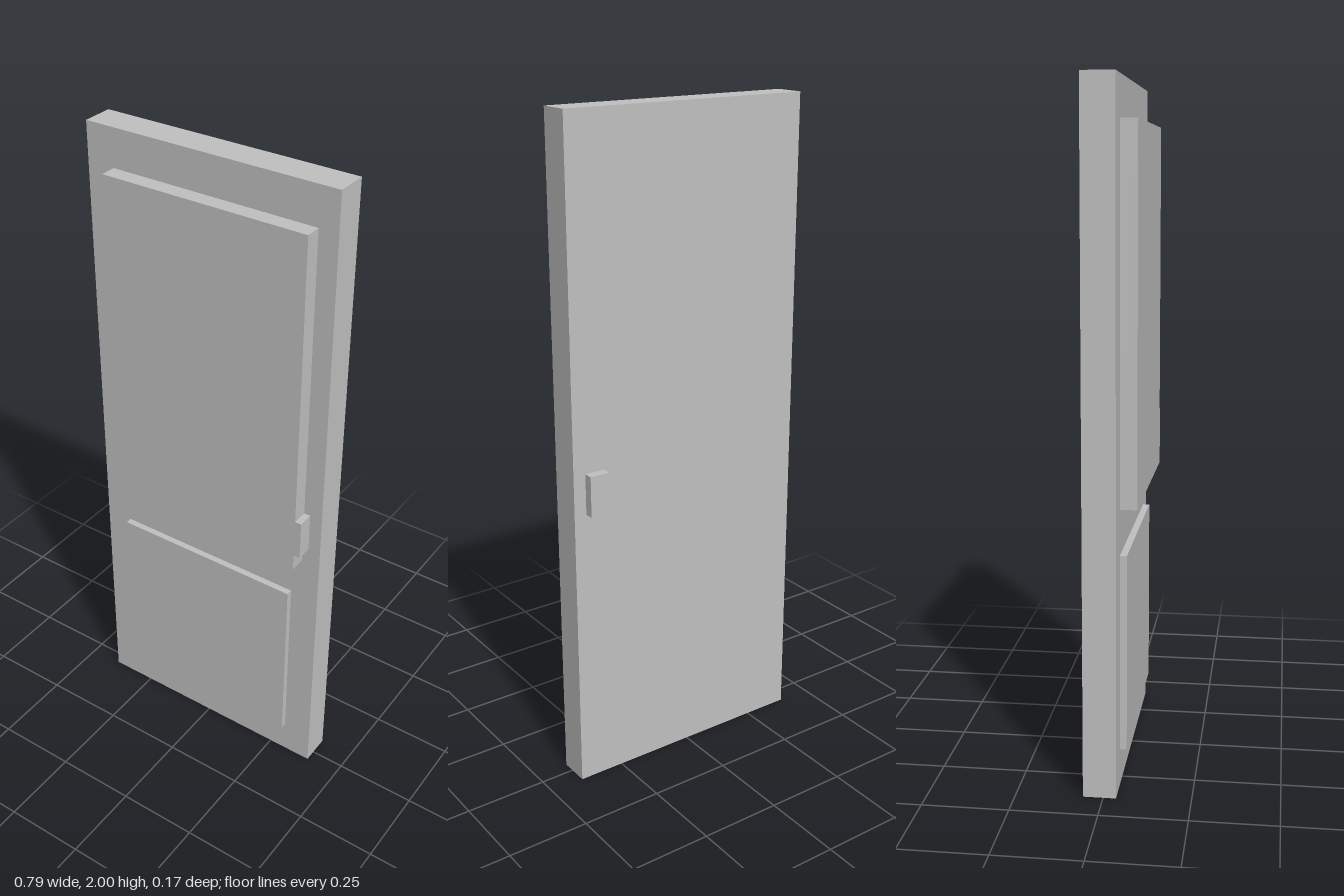
import * as THREE from 'three';

export function createModel() {
  const door = new THREE.Group();
  door.name = 'door';
  const grey = new THREE.MeshStandardMaterial({ color: 0xc0c0c0 });
  grey.name = 'light grey';

  // Box given by its extents along each axis
  function addBox(name, [x0, x1], [y0, y1], [z0, z1]) {
    const mesh = new THREE.Mesh(new THREE.BoxGeometry(x1 - x0, y1 - y0, z1 - z0), grey);
    mesh.position.set((x0 + x1) / 2, (y0 + y1) / 2, (z0 + z1) / 2);
    mesh.name = name;
    door.add(mesh);
  }

  const back = -0.058, front = 0.037, depth = 0.086;

  addBox('doorSlab', [-0.394, 0.394], [0, 2], [back, front]);

  // Raised panels on the front
  addBox('upperPanel', [-0.307, 0.335], [0.82, 1.885], [front, depth]);
  addBox('lowerPanel', [-0.307, 0.303], [0.11, 0.687], [front, 0.057]);

  // Handles: the front one sits flush against the upper panel's edge
  addBox('frontHandle', [0.335, 0.355], [0.872, 0.996], [front, depth]);
  addBox('backHandle', [0.293, 0.355], [0.872, 0.996], [-depth, back]);

  return door;
}
